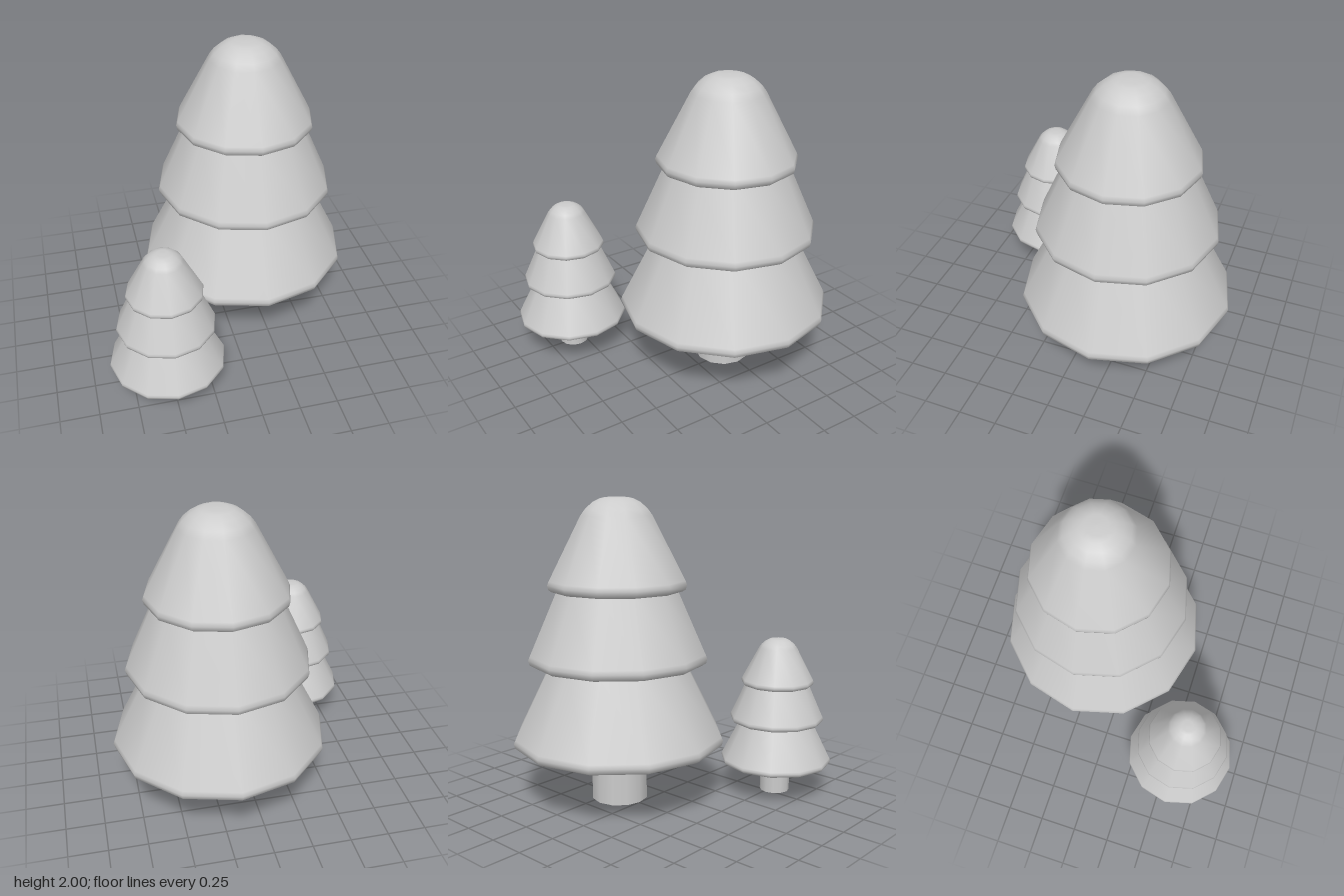
import * as THREE from 'three';

const SIDES = 12;
const material = new THREE.MeshStandardMaterial({ color: 0xcccccc });

// Skirt of branches: flat underside, bevelled rim, then the given upper profile
function makeTier(name, bottom, radius, upper) {
  const profile = [
    [0, bottom],
    [radius - 0.05, bottom],
    [radius - 0.028, bottom + 0.002],
    [radius - 0.008, bottom + 0.015],
    [radius, bottom + 0.045],
    [radius - 0.01, bottom + 0.07],
    ...upper,
  ].map(([r, y]) => new THREE.Vector2(r, y));
  const tier = new THREE.Mesh(new THREE.LatheGeometry(profile, SIDES), material);
  tier.name = name;
  return tier;
}

function makeTree(name, x, z, scale) {
  const tree = new THREE.Group();
  tree.name = name;

  // Trunk
  const trunk = new THREE.Mesh(new THREE.CylinderGeometry(0.188, 0.188, 0.4, SIDES), material);
  trunk.name = 'trunk';
  trunk.position.y = 0.2;
  tree.add(trunk);

  // Three tiers, the last one with a rounded tip
  tree.add(
    makeTier('lowerBranches', 0.388, 0.702, [[0.45, 0.94]]),
    makeTier('middleBranches', 0.933, 0.592, [[0.398, 1.415]]),
    makeTier('topBranches', 1.408, 0.457, [
      [0.235, 1.885], [0.205, 1.925], [0.16, 1.965], [0.11, 1.99], [0.07, 1.998], [0, 2],
    ]),
  );

  tree.position.set(x, 0, z);
  tree.scale.setScalar(scale);
  return tree;
}

export function createModel() {
  const model = new THREE.Group();
  model.name = 'pineTrees';
  model.add(
    makeTree('largeTree', 0.188, -0.242, 1),
    makeTree('smallTree', -0.52, 0.568, 0.532),
  );
  return model;
}
